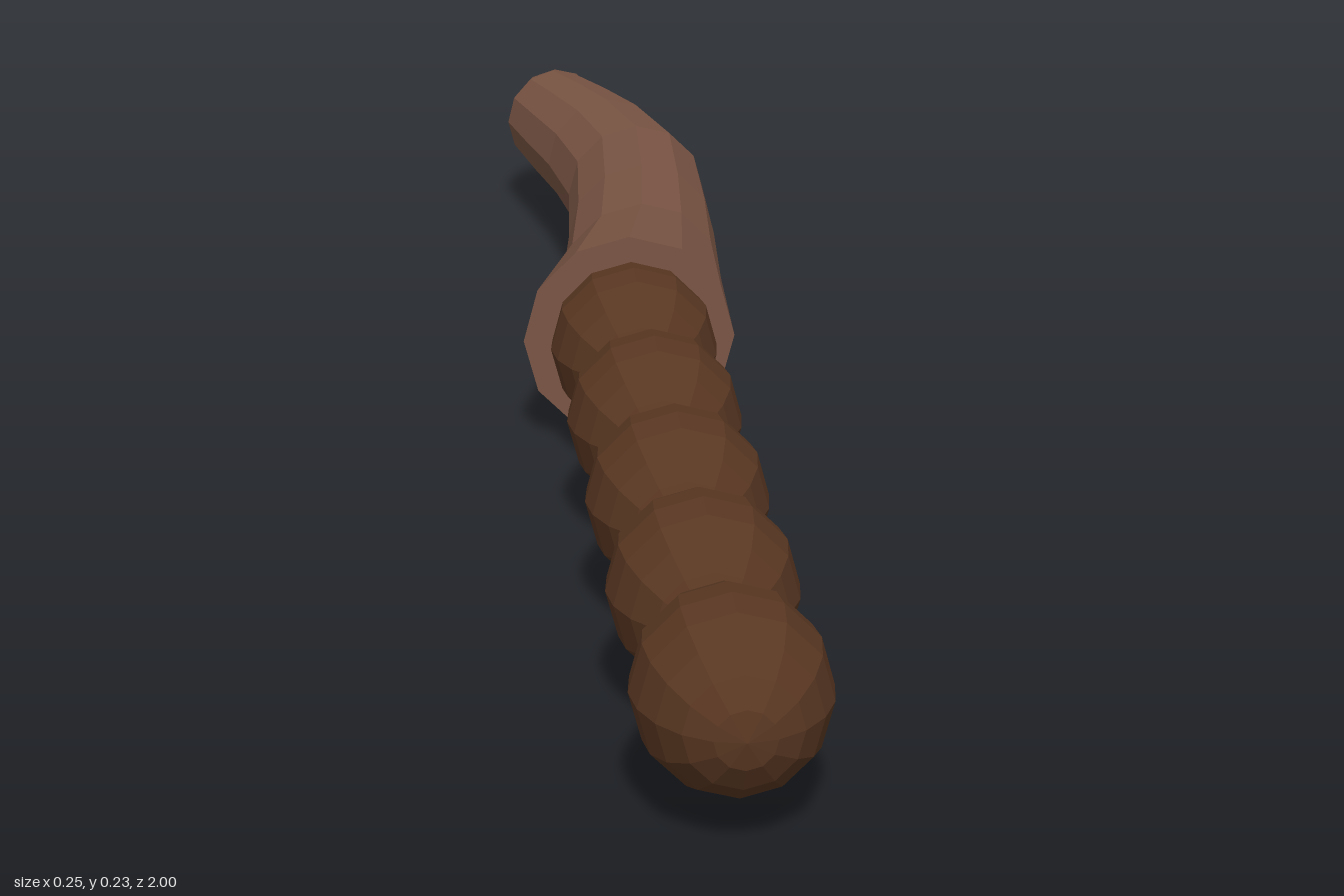
import * as THREE from 'three';

const Y = 0.114; // height of the centre line
const SIDES = 12;

// One cross-section: centre (x, z), radius, and yaw of the section plane.
// Each angle is [degrees, radius factor].
function ring([x, z, r, yaw], angles) {
  return angles.map(([deg, f]) => {
    const t = THREE.MathUtils.degToRad(deg);
    const u = r * f * Math.cos(t);
    return [x + u * Math.cos(yaw), Y + r * f * Math.sin(t), z - u * Math.sin(yaw)];
  });
}

const round = Array.from({ length: SIDES }, (_, k) => [k * 30, 1]);

// Skin rings that run towards -z; from/to pick a range of facets.
function loft(rings, { from = 0, to = rings[0].length, startCap = false, endCap = false } = {}) {
  const p = [];
  const n = rings[0].length;
  for (let i = 0; i < rings.length - 1; i++) {
    for (let k = from; k < to; k++) {
      const j = (k + 1) % n;
      const a = rings[i][k], b = rings[i][j], c = rings[i + 1][j], d = rings[i + 1][k];
      p.push(...a, ...d, ...c, ...a, ...c, ...b);
    }
  }
  const disc = (r, flip) => {
    for (let k = 1; k < n - 1; k++) {
      p.push(...r[0], ...(flip ? r[k + 1] : r[k]), ...(flip ? r[k] : r[k + 1]));
    }
  };
  if (startCap) disc(rings[0], false);
  if (endCap) disc(rings[rings.length - 1], true);
  const g = new THREE.BufferGeometry();
  g.setAttribute('position', new THREE.Float32BufferAttribute(p, 3));
  g.computeVertexNormals();
  return g;
}

export function createModel() {
  const material = (name, color) => {
    const m = new THREE.MeshStandardMaterial({ color, flatShading: true });
    m.name = name;
    return m;
  };
  const handleBrown = material('handleBrown', 0x7a5544);
  const beadBrown = material('beadBrown', 0x593722);
  const blue = material('blue', 0x0a0ae6);

  const model = new THREE.Group();
  model.name = 'beadedRod';
  const add = (name, geometry, mat) => {
    const mesh = new THREE.Mesh(geometry, mat);
    mesh.name = name;
    model.add(mesh);
    return mesh;
  };

  // Row of egg-shaped beads, the last sunk into the handle
  const beadGeometry = new THREE.SphereGeometry(1, SIDES, 10);
  beadGeometry.rotateX(Math.PI / 2);
  beadGeometry.scale(0.089, 0.089, 0.113);
  for (let i = 0; i < 5; i++) {
    add('bead' + (i + 1), beadGeometry, beadBrown).position.set(-0.013, Y + 0.001, 0.887 - i * 0.226);
  }

  // Curved, tapering handle: x, z, radius, yaw
  const sections = [
    [-0.015, -0.05, 0.114, 0],
    [0.017, -0.25, 0.09, 0],
    [0.033, -0.42, 0.085, 0],
    [0.043, -0.6, 0.082, 0.08],
    [0.02, -0.745, 0.076, 0.24],
    [-0.006, -0.845, 0.07, 0.28],
  ];
  const tip = [-0.032, -0.943, 0.062, 0.3];
  add('handle', loft(sections.map((s) => ring(s, round)), { startCap: true, endCap: true }), handleBrown);

  // Neck with a shallow recess on the left, holding the blue band
  const notched = [];
  for (let d = -60; d <= 60; d += 30) notched.push([d, 0.9]);
  for (let d = 60; d <= 300; d += 30) notched.push([d, 1]);
  const neck = [ring(sections[5], notched), ring(tip, notched)];
  add('neck', loft(neck, { from: 4 }), handleBrown);
  add('blueBand', loft(neck, { to: 4 }), blue);

  // Rounded end
  const dome = [];
  for (let i = 0; i <= 4; i++) {
    const a = (i / 4) * Math.PI * 0.48;
    const s = Math.sin(a);
    dome.push(ring([tip[0] + 0.01 * s, tip[1] - 0.057 * s, tip[2] * Math.cos(a), tip[3] * (1 - s)], round));
  }
  add('roundedEnd', loft(dome, { startCap: true, endCap: true }), handleBrown);

  return model;
}
